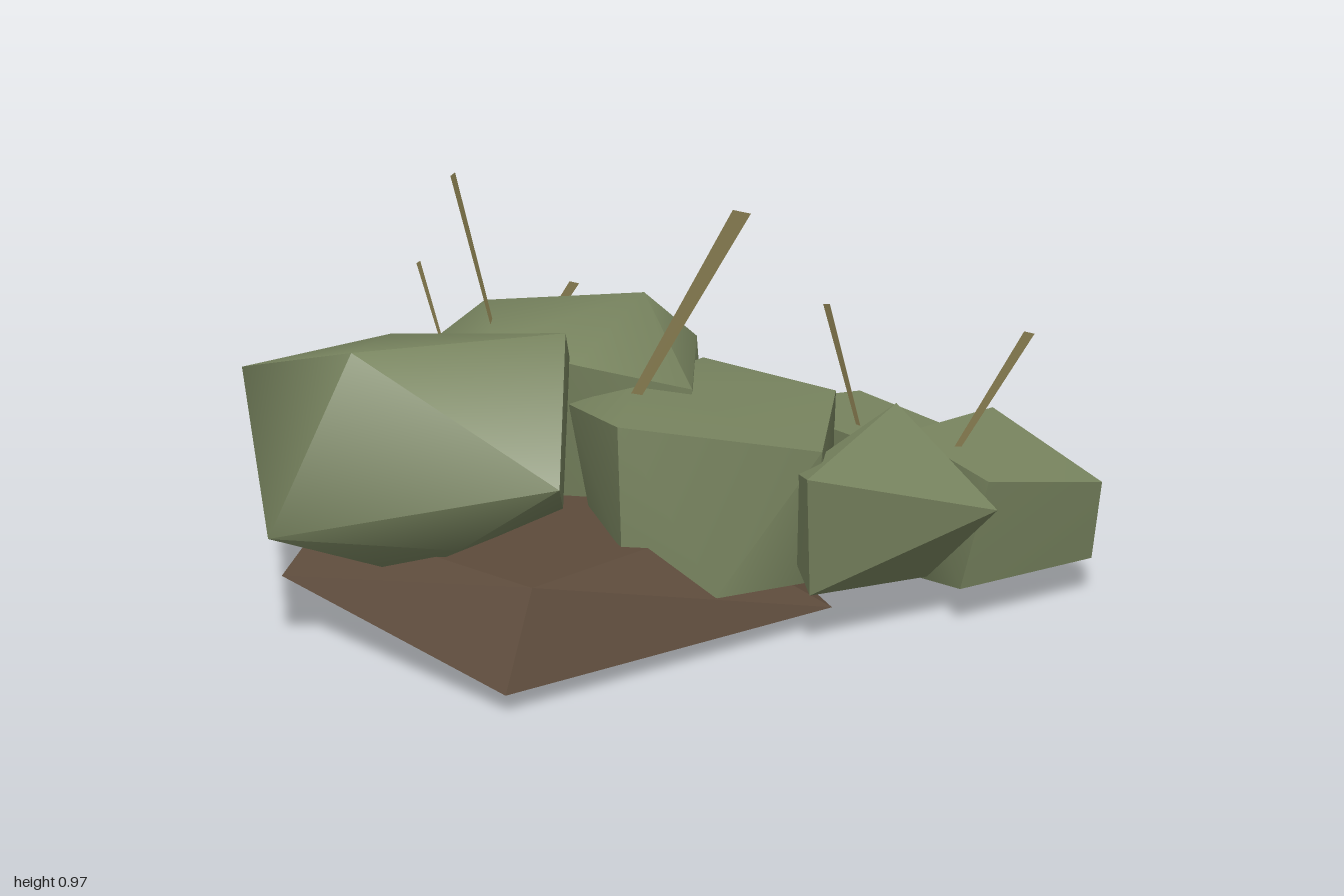
import * as THREE from 'three';
import { ConvexGeometry } from 'three/addons/geometries/ConvexGeometry.js';
import { toCreasedNormals } from 'three/addons/utils/BufferGeometryUtils.js';

export function createModel() {
  const group = new THREE.Group();
  const paint = (name, color, extra = {}) =>
    Object.assign(new THREE.MeshStandardMaterial({ color, ...extra }), { name });
  const green = paint('leaf green', 0x78845f);
  const brown = paint('soil brown', 0x5d4b3b);
  const straw = paint('spine straw', 0x857a4e, { side: THREE.DoubleSide });

  // Convex faceted lump; creases sharper than the given angle stay hard
  const lump = (name, material, crease, corners) => {
    const points = corners.map((c) => new THREE.Vector3(...c));
    const mesh = new THREE.Mesh(toCreasedNormals(new ConvexGeometry(points), crease), material);
    mesh.name = name;
    group.add(mesh);
  };

  // Five sided soil mound with one lifted front corner
  lump('soilMound', brown, 0.1, [
    [0.13, 0.05, 0.81], [0.515, 0.05, -0.02], [-0.05, 0.05, -0.4], [-0.75, 0.05, -0.05], [-0.6, 0.13, 0.6],
    [0.11, 0.245, 0.66], [0.25, 0.245, 0.15], [-0.05, 0.245, -0.28], [-0.6, 0.245, -0.03], [-0.55, 0.245, 0.5],
  ]);

  // Three large pads
  lump('frontPad', green, 1, [
    [-0.735, 0.6, 0.54], [-0.345, 0.717, 0.665], [-0.08, 0.68, 0.18], [-0.11, 0.6, 0.11], [0.105, 0.43, 0.53],
    [-0.49, 0.3, 0.8], [-0.755, 0.28, 0.29], [-0.63, 0.58, 0.07], [-0.28, 0.175, 0.55], [-0.12, 0.27, 0.59],
    [-0.02, 0.3, 0.3], [-0.55, 0.22, 0.15],
  ]);
  lump('middlePad', green, 1.1, [
    [-0.115, 0.495, -0.54], [0.145, 0.525, -0.02], [-0.1, 0.68, -0.235], [-0.42, 0.67, -0.02], [-0.63, 0.47, -0.25],
    [-0.62, 0.5, 0.04], [-0.4, 0.53, -0.41], [-0.08, 0.59, 0.13], [-0.3, 0.62, 0.15], [-0.1, 0.39, -0.53],
    [-0.12, 0.2, -0.47], [0.1, 0.18, -0.02], [-0.55, 0.2, -0.2], [-0.6, 0.28, 0.02],
    [-0.39, 0.2, -0.41], [-0.3, 0.15, 0.1],
  ]);
  lump('sidePad', green, 0.85, [
    [0.145, 0.53, 0.34], [0.525, 0.455, 0.07], [0.35, 0.46, -0.375], [0, 0.5, -0.355], [-0.09, 0.5, 0.15],
    [0.02, 0.535, 0.02], [0.15, 0.22, 0.33], [0.35, 0.13, 0.25], [0.49, 0.13, 0.05], [0.45, 0.13, -0.14],
    [0.3, 0.16, -0.33], [0, 0.16, -0.3], [-0.05, 0.16, 0.1],
  ]);

  // Small pads on the left arm
  lump('leftInnerPad', green, 0.45, [
    [0.52, 0.46, -0.35], [0.55, 0.43, 0.2], [0.87, 0.31, -0.14], [0.465, 0.4, 0.08], [0.54, 0.14, 0.155],
    [0.47, 0.18, 0.08], [0.7, 0.12, -0.14], [0.5, 0.14, -0.3], [0.7, 0.2, -0.3],
  ]);
  lump('leftOuterPad', green, 0.45, [
    [0.83, 0.36, -0.18], [0.995, 0.3, -0.48], [0.97, 0.1, -0.5], [0.635, 0.38, -0.675], [0.53, 0.38, -0.38],
    [0.81, 0.08, -0.685], [0.57, 0.15, -0.58], [0.555, 0.005, -0.42], [0.78, 0.1, -0.15],
  ]);
  lump('leftRearPad', green, 0.45, [
    [0.275, 0.37, -0.68], [0.645, 0.36, -0.5], [0.53, 0.38, -0.25], [0.14, 0.4, -0.38],
    [0.465, 0.12, -0.7], [0.115, 0.17, -0.49], [0.14, 0.12, -0.39], [0.56, 0.1, -0.42], [0.35, 0.1, -0.35],
  ]);

  // Small pads on the right arm
  lump('rightInnerPad', green, 0.45, [
    [-0.96, 0.385, -0.215], [-0.7, 0.43, -0.41], [-0.45, 0.4, -0.35], [-0.6, 0.42, 0.07], [-0.8, 0.37, -0.07],
    [-0.88, 0.14, -0.13], [-0.68, 0.12, 0], [-0.5, 0.12, -0.25], [-0.7, 0.1, -0.35],
  ]);
  lump('rightOuterPad', green, 0.45, [
    [-0.995, 0.34, -0.675], [-0.675, 0.37, -0.79], [-0.52, 0.37, -0.525], [-0.85, 0.39, -0.36],
    [-0.84, 0.105, -0.81], [-1, 0.14, -0.52], [-0.7, 0.13, -0.37], [-0.56, 0.12, -0.63],
  ]);
  lump('rightRearPad', green, 0.45, [
    [-0.6, 0.37, -0.72], [-0.29, 0.35, -0.55], [-0.52, 0.39, -0.34], [-0.66, 0.37, -0.5],
    [-0.46, 0.11, -0.735], [-0.3, 0.13, -0.43], [-0.52, 0.1, -0.38], [-0.62, 0.12, -0.6],
  ]);

  // Flat spines that widen towards the tip: base, tip, width direction, tip width
  const spine = (name, base, tip, across, width) => {
    const a = new THREE.Vector3(...base), b = new THREE.Vector3(...tip);
    const w = new THREE.Vector3(...across).normalize();
    const corner = (p, s) => p.clone().addScaledVector(w, s).toArray();
    const geometry = new THREE.BufferGeometry();
    geometry.setAttribute('position', new THREE.Float32BufferAttribute([
      ...corner(a, -width * 0.28), ...corner(a, width * 0.28), ...corner(b, width / 2), ...corner(b, -width / 2),
    ], 3));
    geometry.setIndex([0, 1, 2, 0, 2, 3]);
    geometry.computeVertexNormals();
    const mesh = new THREE.Mesh(geometry, straw);
    mesh.name = name;
    group.add(mesh);
  };
  spine('sideSpine', [0.03, 0.47, 0.11], [0.28, 0.97, 0], [0.85, -0.2, -0.45], 0.042);
  spine('middleSpine', [-0.33, 0.6, 0.075], [-0.505, 0.97, -0.02], [0.3, 0, 1], 0.042);
  spine('leftRearSpine', [0.42, 0.36, -0.37], [0.295, 0.655, -0.43], [0.9, 0.2, 0.4], 0.025);
  spine('leftOuterSpine', [0.66, 0.34, -0.355], [0.82, 0.655, -0.425], [0.85, -0.2, -0.4], 0.025);
  spine('rightOuterSpine', [-0.81, 0.36, -0.46], [-0.925, 0.595, -0.51], [0.15, 0, 1], 0.025);
  spine('rightRearSpine', [-0.6, 0.34, -0.445], [-0.45, 0.6, -0.505], [0.85, -0.2, -0.4], 0.025);
  return group;
}
